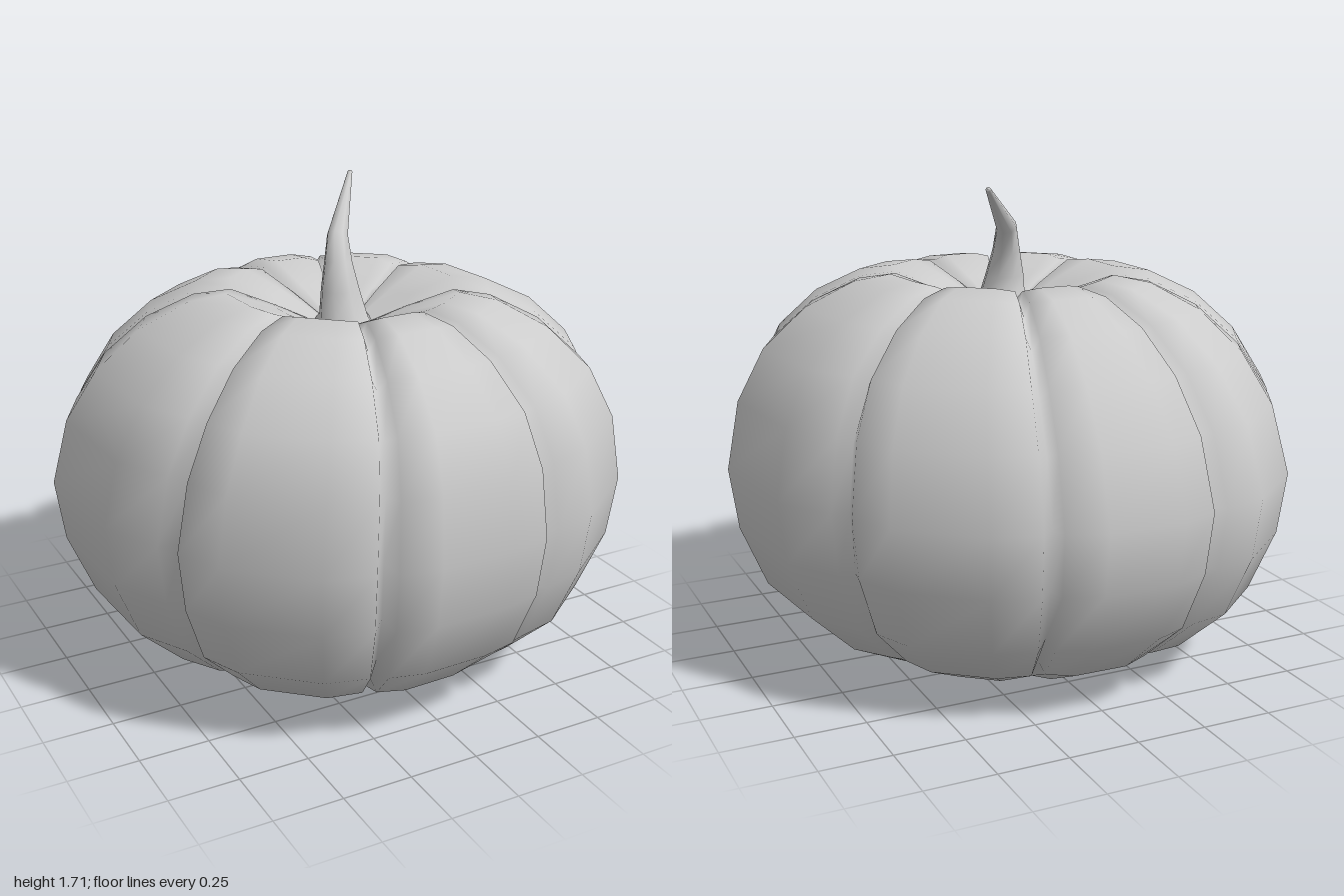
import * as THREE from 'three';

// Smooth closed skin over rings of points, listed bottom to top, each ring running from +x to +z
function skin(name, rings) {
  const n = rings[0].length, index = [];
  for (let i = 0; i < rings.length - 1; i++) {
    for (let j = 0; j < n; j++) {
      const k = (j + 1) % n;
      const a = i * n + j, b = i * n + k, c = a + n, d = b + n;
      index.push(a, c, b, b, c, d);
    }
  }
  const geometry = new THREE.BufferGeometry().setFromPoints(rings.flat());
  geometry.setIndex(index);
  geometry.computeVertexNormals();
  const mesh = new THREE.Mesh(geometry, new THREE.MeshStandardMaterial({ color: 0xcccccc }));
  mesh.name = name;
  return mesh;
}

// Ribs: angle in degrees of the groove that starts each, then four radii across it
const RIBS = [
  [27, 0.99, 1.03, 1.01, 0.98],
  [71.5, 0.985, 0.98, 0.987, 0.985],
  [108, 0.977, 1.0, 0.99, 0.957],
  [152, 0.957, 0.995, 1.03, 1.0],
  [210, 1.0, 1.02, 1.02, 0.98],
  [250, 0.977, 0.99, 0.975, 0.946],
  [286, 0.95, 0.957, 0.955, 0.92],
  [330, 0.93, 0.98, 1.02, 0.99],
];
const ACROSS = [0.05, 0.28, 0.72, 0.95];

// Profiles from the bottom dimple to the top dimple: [rib radius, rib y, groove radius, groove y]
const PROFILE = [
  [0.005, 0.16, 0.005, 0.16],
  [0.22, 0.065, 0.2, 0.12],
  [0.47, 0.005, 0.42, 0.08],
  [0.71, 0.12, 0.64, 0.17],
  [0.88, 0.28, 0.79, 0.31],
  [0.97, 0.5, 0.87, 0.51],
  [1.0, 0.72, 0.89, 0.72],
  [0.95, 0.96, 0.85, 0.94],
  [0.85, 1.14, 0.76, 1.1],
  [0.7, 1.28, 0.63, 1.22],
  [0.53, 1.365, 0.48, 1.3],
  [0.4, 1.385, 0.36, 1.32],
  [0.24, 1.325, 0.22, 1.28],
  [0.11, 1.265, 0.1, 1.24],
  [0.005, 1.23, 0.005, 1.23],
];

function pumpkinBody() {
  const rings = PROFILE.map(([r, y, grooveR, grooveY]) => {
    const ring = [];
    const lean = 0.05 * THREE.MathUtils.smoothstep(y, 0.72, 1.2); // the top sits a little forward
    const add = (degrees, radius, height) => {
      const t = THREE.MathUtils.degToRad(degrees);
      ring.push(new THREE.Vector3(radius * Math.cos(t), height, radius * Math.sin(t) + lean));
    };
    const soften = 0.3 * (1 - r); // rib sides round off towards the ends
    RIBS.forEach(([start, ...radii], i) => {
      const end = i < RIBS.length - 1 ? RIBS[i + 1][0] : RIBS[0][0] + 360;
      add(start, grooveR, grooveY);
      radii.forEach((scale, k) => {
        const mix = k === 0 || k === 3 ? soften : 0;
        add(start + (end - start) * ACROSS[k],
          scale * THREE.MathUtils.lerp(r, grooveR, mix),
          THREE.MathUtils.lerp(y, grooveY, mix));
      });
    });
    return ring;
  });
  return skin('pumpkinBody', rings);
}

function stem() {
  // Ring centres with radius and backward-right tilt of each ring
  const stations = [
    [0, 1.21, 0.06, 0.14, 0],
    [0, 1.28, 0.06, 0.09, 0],
    [-0.01, 1.37, 0.055, 0.072, 0.1],
    [0, 1.46, 0.02, 0.052, 0.25],
    [0.015, 1.55, -0.015, 0.038, 0.6],
    [0.187, 1.712, -0.242, 0.009, 1.0],
    [0.188, 1.713, -0.243, 0.001, 1.0],
  ];
  const axis = new THREE.Vector3(-0.24, 0, -0.18).normalize();
  const sides = 8;
  const rings = stations.map(([x, y, z, radius, tilt]) =>
    Array.from({ length: sides }, (_, j) => {
      const t = (j / sides) * Math.PI * 2;
      return new THREE.Vector3(radius * Math.cos(t), 0, radius * Math.sin(t))
        .applyAxisAngle(axis, tilt)
        .add(new THREE.Vector3(x, y, z));
    }));
  return skin('stem', rings);
}

export function createModel() {
  const group = new THREE.Group();
  group.name = 'pumpkin';
  group.add(pumpkinBody(), stem());
  return group;
}
